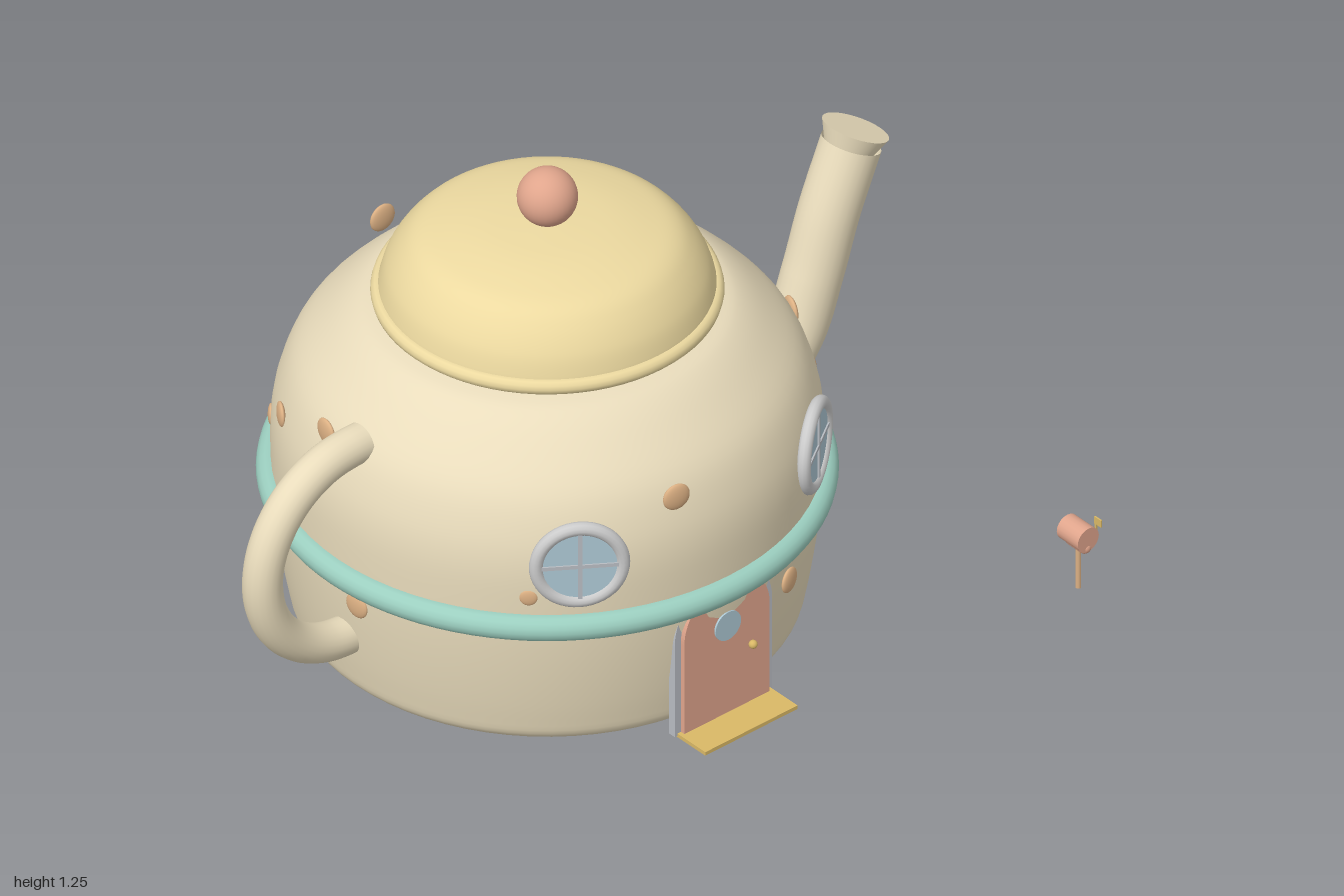
import * as THREE from 'three';

const CX = -0.055, CZ = -0.073; // centre of the pot
const V = (x, y, z = 0) => new THREE.Vector3(x, y, z);
const mat = (color, side = THREE.FrontSide) =>
  new THREE.MeshStandardMaterial({ color, side });

const cream = mat(0xe9dcbc, THREE.DoubleSide);
const yellow = mat(0xecd9a0);
const teal = mat(0x9ccfc0);
const pink = mat(0xe0a58c);
const tan = mat(0xddb184);
const gold = mat(0xd9b866);
const white = mat(0xdcdcdc);
const glass = mat(0xadc8d4);
const metal = mat(0xb8bcc2);

function add(parent, name, geometry, material, x = 0, y = 0, z = 0) {
  const mesh = new THREE.Mesh(geometry, material);
  mesh.name = name;
  mesh.position.set(x, y, z);
  parent.add(mesh);
  return mesh;
}

// Smooth surface of revolution through a few [radius, height] points
function turned(points) {
  const curve = new THREE.SplineCurve(points.map(p => new THREE.Vector2(...p)));
  const pts = curve.getPoints(60);
  pts.forEach(p => { p.x = Math.max(p.x, 0); });
  return new THREE.LatheGeometry(pts, 72);
}

// Door-shaped slab: a rectangle with a round top
function archSlab(halfWidth, spring, depth) {
  const s = new THREE.Shape();
  s.moveTo(-halfWidth, 0);
  s.lineTo(halfWidth, 0);
  s.lineTo(halfWidth, spring);
  s.absarc(0, spring, halfWidth, 0, Math.PI);
  s.closePath();
  return new THREE.ExtrudeGeometry(s, { depth, bevelEnabled: false, curveSegments: 24 });
}

function buildPot(pot) {
  add(pot, 'body', turned([
    [0, 0.004], [0.4, 0.005], [0.55, 0.012], [0.602, 0.035], [0.619, 0.09], [0.637, 0.2],
    [0.65, 0.32], [0.656, 0.44], [0.655, 0.55], [0.638, 0.64], [0.6, 0.73],
    [0.53, 0.81], [0.465, 0.865], [0.41, 0.885], [0.3, 0.895], [0, 0.9],
  ]), cream);
  add(pot, 'waistBand', new THREE.TorusGeometry(0.657, 0.034, 16, 96).rotateX(Math.PI / 2), teal, 0, 0.392);
  add(pot, 'lid', turned([
    [0.405, 0.9], [0.4, 0.935], [0.383, 0.985], [0.35, 1.035], [0.31, 1.07],
    [0.25, 1.09], [0.15, 1.107], [0, 1.115],
  ]), yellow);
  add(pot, 'lidRim', new THREE.TorusGeometry(0.4, 0.02, 12, 72).rotateX(Math.PI / 2), yellow, 0, 0.91);
  add(pot, 'lidKnob', new THREE.SphereGeometry(0.073, 32, 24), pink, 0, 1.177);
}

function buildSpoutAndHandle(root) {
  const spout = new THREE.CatmullRomCurve3([
    V(0.55, 0.285), V(0.64, 0.335), V(0.72, 0.42), V(0.78, 0.57), V(0.83, 0.72), V(0.9, 0.885),
  ]);
  add(root, 'spout', new THREE.TubeGeometry(spout, 40, 0.075, 24), cream, 0, 0, CZ);
  const lip = add(root, 'spoutLip', new THREE.CylinderGeometry(0.084, 0.062, 0.05, 32),
    cream, 0.903, 0.897, CZ);
  lip.rotation.z = -0.43;

  const arc = [];
  for (let i = 0; i <= 12; i++) {
    const a = Math.PI / 2 + (Math.PI * i) / 12;
    arc.push(V(-0.68 + 0.27 * Math.cos(a), 0.467 + 0.27 * Math.sin(a)));
  }
  const handle = new THREE.CatmullRomCurve3([V(-0.64, 0.737), ...arc, V(-0.64, 0.197)]);
  add(root, 'handle', new THREE.TubeGeometry(handle, 64, 0.049, 20), cream, 0, 0, CZ);
}

// Round window with a cross of glazing bars, facing +z
function buildWindow(pot, name, angle) {
  const w = new THREE.Group();
  w.name = name;
  add(w, 'windowFrame', new THREE.TorusGeometry(0.104, 0.017, 12, 48), white);
  add(w, 'windowGlass', new THREE.CylinderGeometry(0.1, 0.1, 0.016, 40).rotateX(Math.PI / 2), glass);
  add(w, 'windowBarUpright', new THREE.BoxGeometry(0.01, 0.2, 0.024), metal);
  add(w, 'windowBarAcross', new THREE.BoxGeometry(0.2, 0.01, 0.024), metal);
  w.position.set(0.655 * Math.sin(angle), 0.57, 0.655 * Math.cos(angle));
  w.rotation.y = angle;
  pot.add(w);
}

function buildDoor(root) {
  const door = new THREE.Group();
  door.name = 'door';
  door.position.set(CX, 0.015, 0);
  add(door, 'doorFrame', archSlab(0.153, 0.265, 0.02), metal, 0, 0, 0.542);
  add(door, 'doorPanel', archSlab(0.134, 0.265, 0.025), pink, 0, 0, 0.55);
  add(door, 'doorWindow', new THREE.CylinderGeometry(0.04, 0.04, 0.012, 32).rotateX(Math.PI / 2),
    glass, 0, 0.262, 0.574);
  add(door, 'doorKnob', new THREE.SphereGeometry(0.011, 16, 12), gold, 0.075, 0.175, 0.583);
  add(door, 'doorStep', new THREE.BoxGeometry(0.29, 0.01, 0.13), gold, 0, 0.002, 0.598);
  root.add(door);
}

// Flattened spots on the pot: [angle from front toward +x in degrees, height, distance, size]
function buildSpots(pot) {
  const spots = [
    [-12.3, 0.7, 0.635, 0.036], [19.5, 0.29, 0.658, 0.033],
    [72.5, 0.665, 0.63, 0.036], [60, 0.592, 0.64, 0.03], [52, 0.527, 0.648, 0.024],
    [104.5, 0.25, 0.645, 0.03], [92, 0.17, 0.635, 0.034],
    [178, 0.77, 0.62, 0.037], [158, 0.64, 0.635, 0.032], [144, 0.555, 0.65, 0.028], [133, 0.485, 0.655, 0.026],
    [191, 0.23, 0.645, 0.033], [198, 0.29, 0.65, 0.028],
    [228, 0.535, 0.655, 0.026], [240, 0.63, 0.643, 0.032], [262, 0.735, 0.625, 0.035],
    [-85, 0.32, 0.65, 0.034], [-45, 0.475, 0.655, 0.022],
  ];
  for (const [deg, y, r, size] of spots) {
    const a = THREE.MathUtils.degToRad(deg);
    const spot = add(pot, 'spot', new THREE.SphereGeometry(size, 20, 14), tan,
      r * Math.sin(a), y, r * Math.cos(a));
    spot.scale.z = 0.3;
    spot.rotation.y = a;
  }
}

function buildMailbox(root) {
  const box = new THREE.Group();
  box.name = 'mailbox';
  box.position.set(0.918, 0, 0.725);
  add(box, 'mailboxPost', new THREE.CylinderGeometry(0.007, 0.007, 0.125, 10), tan, 0, 0.073, 0);
  add(box, 'mailboxBody', new THREE.CylinderGeometry(0.033, 0.033, 0.076, 20).rotateX(Math.PI / 2),
    pink, 0, 0.167, -0.002);
  add(box, 'mailboxBase', new THREE.CapsuleGeometry(0.017, 0.044, 6, 12).rotateX(Math.PI / 2),
    pink, 0, 0.14, 0);
  add(box, 'mailboxFlagPole', new THREE.BoxGeometry(0.004, 0.06, 0.006), gold, 0.036, 0.178, 0.022);
  add(box, 'mailboxFlag', new THREE.BoxGeometry(0.004, 0.02, 0.024), gold, 0.036, 0.2, 0.03);
  root.add(box);
}

export function createModel() {
  const root = new THREE.Group();
  root.name = 'teapotHouse';
  const pot = new THREE.Group();
  pot.name = 'pot';
  pot.position.set(CX, 0, CZ);
  root.add(pot);

  buildPot(pot);
  buildSpoutAndHandle(root);
  buildWindow(pot, 'leftWindow', 0.6);
  buildWindow(pot, 'rightWindow', -0.6);
  buildDoor(root);
  buildSpots(pot);
  buildMailbox(root);
  return root;
}
